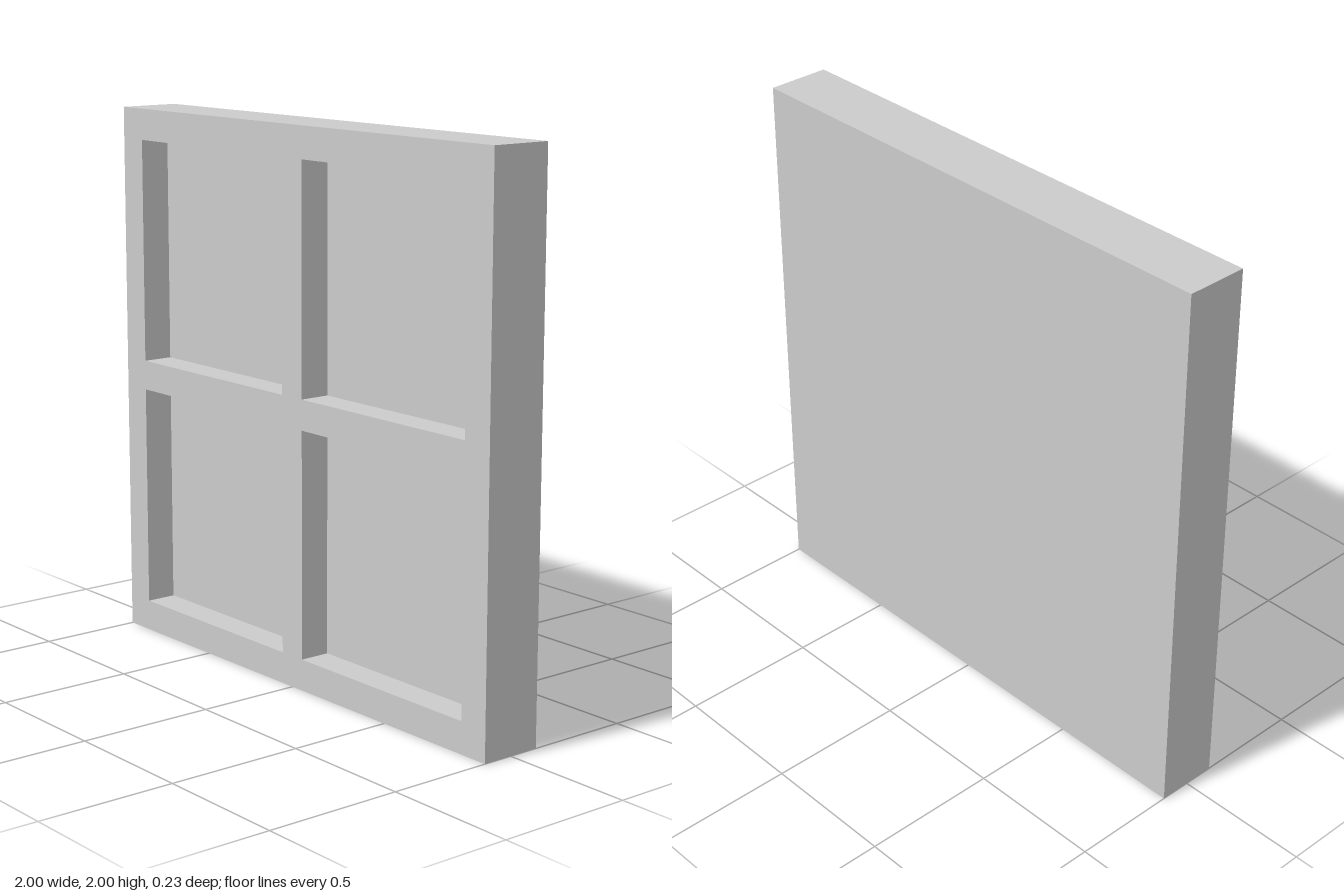
import * as THREE from 'three';

const SIZE = 2;        // width and height
const HALF_DEPTH = 0.115;
const INNER = 0.055;   // opening edge next to the centre bars
const OUTER = 0.885;   // opening edge next to the outer frame

// Square path centred on (cx, cy)
function square(path, cx, cy, side) {
  const h = side / 2;
  path.moveTo(cx - h, cy - h);
  path.lineTo(cx + h, cy - h);
  path.lineTo(cx + h, cy + h);
  path.lineTo(cx - h, cy + h);
  path.closePath();
  return path;
}

export function createModel() {
  const group = new THREE.Group();
  group.name = 'panelledBlock';
  const material = new THREE.MeshStandardMaterial({ color: 0xcccccc, flatShading: true });

  // Solid rear half, whose front face is the floor of the recesses
  const backPanel = new THREE.Mesh(new THREE.BoxGeometry(SIZE, SIZE, HALF_DEPTH), material);
  backPanel.name = 'backPanel';
  backPanel.position.set(0, SIZE / 2, -HALF_DEPTH / 2);
  group.add(backPanel);

  // Front half: frame and cross bars around four square openings
  const outline = square(new THREE.Shape(), 0, 0, SIZE);
  const centre = (INNER + OUTER) / 2;
  for (const sx of [-1, 1]) {
    for (const sy of [-1, 1]) {
      outline.holes.push(square(new THREE.Path(), sx * centre, sy * centre, OUTER - INNER));
    }
  }
  const frame = new THREE.Mesh(
    new THREE.ExtrudeGeometry(outline, { depth: HALF_DEPTH, bevelEnabled: false }),
    material
  );
  frame.name = 'crossBarFrame';
  frame.position.y = SIZE / 2;
  group.add(frame);

  return group;
}
